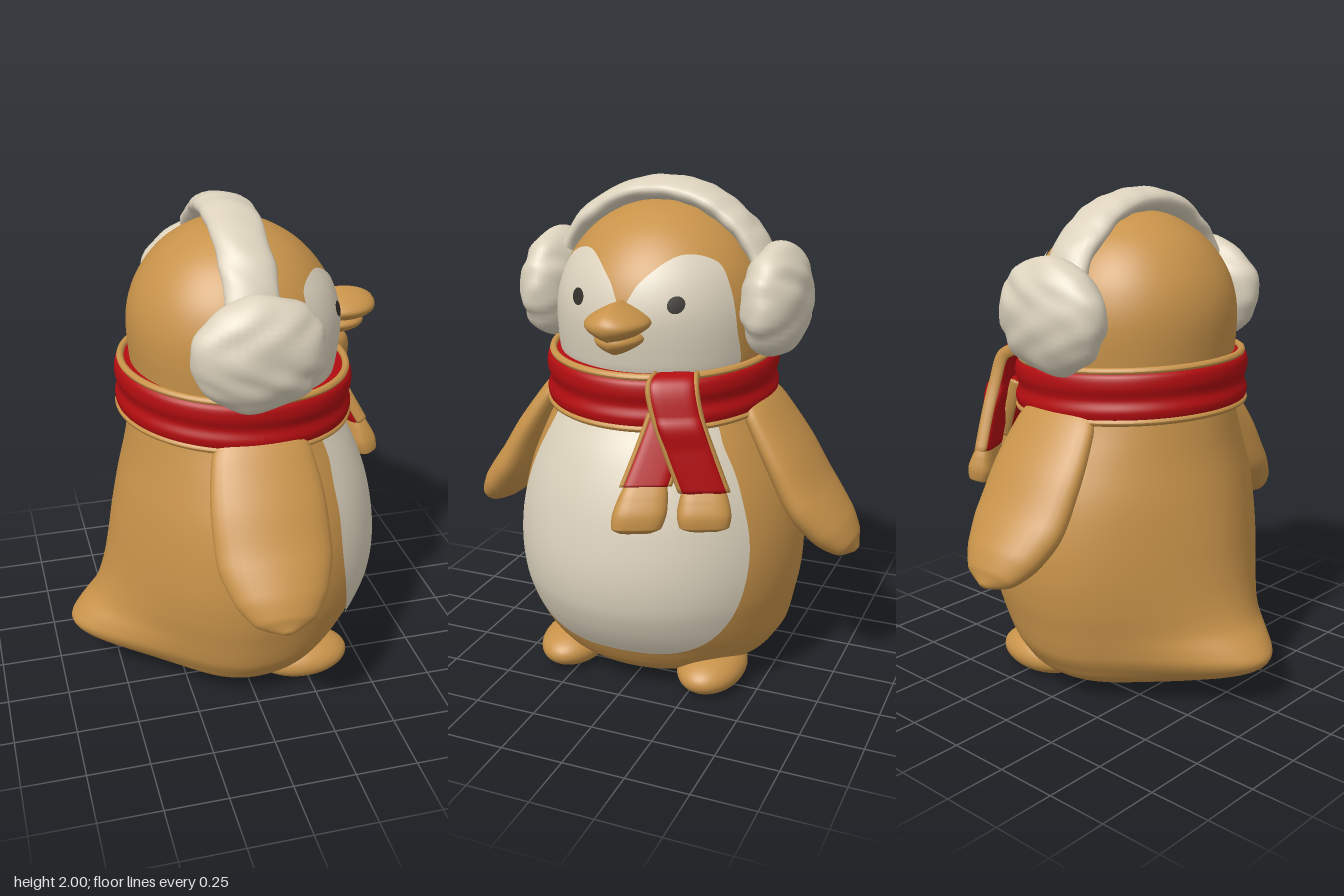
import * as THREE from 'three';
import { mergeVertices } from 'three/addons/utils/BufferGeometryUtils.js';

const material = (name, color) => {
  const m = new THREE.MeshStandardMaterial({ color });
  m.name = name;
  return m;
};

// Skin over closed rings of points
function loft(rings) {
  const n = rings[0].length, index = [];
  for (let i = 0; i < rings.length - 1; i++) {
    for (let j = 0; j < n; j++) {
      const k = (j + 1) % n;
      const a = i * n + j, b = i * n + k, c = a + n, d = b + n;
      index.push(a, c, b, b, c, d);
    }
  }
  const g = new THREE.BufferGeometry().setFromPoints(rings.flat());
  g.setIndex(index);
  g.computeVertexNormals();
  return g;
}

// Tube of changing size along rows [x, y, z, halfWidth, halfThickness]; U is the width direction
function sweep(rows, U, boxy = 1, steps = 40, sides = 28) {
  const path = new THREE.CatmullRomCurve3(rows.map(r => new THREE.Vector3(r[0], r[1], r[2])));
  const size = new THREE.CatmullRomCurve3(rows.map(r => new THREE.Vector3(r[3], r[4], 0)));
  const pow = v => Math.sign(v) * Math.abs(v) ** boxy;
  const rings = [];
  for (let i = 0; i <= steps; i++) {
    const u = i / steps, p = path.getPoint(u), s = size.getPoint(u);
    const N = U.clone().cross(path.getTangent(u)).normalize();
    const ring = [];
    for (let j = 0; j < sides; j++) {
      const a = j / sides * Math.PI * 2;
      ring.push(p.clone().addScaledVector(U, s.x * pow(Math.cos(a))).addScaledVector(N, s.y * pow(Math.sin(a))));
    }
    rings.push(ring);
  }
  // close both ends
  rings.unshift(rings[0].map(() => path.getPoint(0)));
  rings.push(rings[0].map(() => path.getPoint(1)));
  return loft(rings);
}

// Body and head rows: y, front, back, half width, back without tail
const ROWS = [
  [0.01, 0.15, 0.05, 0.2, 0.05], [0.05, 0.33, 0.37, 0.37, 0.28], [0.1, 0.41, 0.54, 0.46, 0.36],
  [0.15, 0.45, 0.65, 0.5, 0.39], [0.2, 0.48, 0.69, 0.53, 0.41], [0.25, 0.515, 0.66, 0.545, 0.42],
  [0.32, 0.555, 0.59, 0.56, 0.43], [0.42, 0.592, 0.545, 0.58, 0.44], [0.55, 0.605, 0.515, 0.59, 0.44],
  [0.7, 0.59, 0.49, 0.58, 0.43], [0.85, 0.555, 0.46, 0.545, 0.42], [1.0, 0.495, 0.425, 0.485, 0.4],
  [1.15, 0.41, 0.4, 0.42, 0.39], [1.25, 0.39, 0.38, 0.4, 0.38], [1.35, 0.415, 0.39, 0.415, 0.39],
  [1.5, 0.43, 0.4, 0.42, 0.4], [1.6, 0.415, 0.388, 0.405, 0.388], [1.7, 0.37, 0.347, 0.365, 0.347],
  [1.8, 0.285, 0.27, 0.285, 0.27], [1.87, 0.18, 0.17, 0.18, 0.17], [1.9, 0.09, 0.09, 0.09, 0.09],
  [1.91, 0.001, 0.001, 0.001, 0.001]
];
function row(y) {
  let i = 0;
  while (i < ROWS.length - 2 && y > ROWS[i + 1][0]) i++;
  const p = ROWS[i], q = ROWS[i + 1], h = q[0] - p[0];
  const t = THREE.MathUtils.clamp((y - p[0]) / h, 0, 1);
  const slope = (k, c) => {
    const a = ROWS[Math.max(k - 1, 0)], b = ROWS[Math.min(k + 1, ROWS.length - 1)];
    return (b[c] - a[c]) / (b[0] - a[0]);
  };
  return [1, 2, 3, 4].map(c =>
    (2 * t ** 3 - 3 * t * t + 1) * p[c] + (t ** 3 - 2 * t * t + t) * h * slope(i, c) +
    (3 * t * t - 2 * t ** 3) * q[c] + (t ** 3 - t * t) * h * slope(i + 1, c));
}
function bodyGeometry() {
  const rings = [];
  for (let i = 0; i < ROWS.length - 1; i++) {
    for (let k = 0; k < 5; k++) rings.push(THREE.MathUtils.lerp(ROWS[i][0], ROWS[i + 1][0], k / 5));
  }
  rings.push(1.91);
  const loops = rings.map(y => {
    const [front, back, w, base] = row(y), ring = [];
    for (let j = 0; j < 112; j++) {
      const a = j / 112 * Math.PI * 2, c = Math.cos(a);
      const x = c > 0 ? front * c : base * c - (back - base) * (-c) ** 7;
      ring.push(new THREE.Vector3(x, y, w * Math.sin(a)));
    }
    return ring;
  });
  loops.unshift(loops[0].map(() => new THREE.Vector3(0.05, 0.005, 0)));
  return loft(loops);
}

// Thin plate hugging the front of the body; outline [z, y] runs clockwise around the centre
function patch(outline, cz, cy, lift = 0.008) {
  const curve = new THREE.CatmullRomCurve3(outline.map(([z, y]) => new THREE.Vector3(0, y, z)), true);
  const edge = curve.getPoints(96).slice(0, 96);
  const rings = [];
  for (let i = 0; i <= 24; i++) {
    rings.push(edge.map(e => {
      const y = THREE.MathUtils.lerp(cy, e.y, i / 24), z = THREE.MathUtils.lerp(cz, e.z, i / 24);
      const [front, , w] = row(y);
      const x = front * Math.sqrt(Math.max(0.01, 1 - (z / w) ** 2));
      return new THREE.Vector3(x + lift, y, z * 1.008);
    }));
  }
  return loft(rings);
}
const mirrored = half => [...half, ...half.slice(1, -1).reverse().map(([z, y]) => [-z, y])];

// Uneven fur surface
function fluffy(g, amount) {
  g.deleteAttribute('uv');
  g.deleteAttribute('normal');
  g = mergeVertices(g, 1e-4);
  g.computeVertexNormals();
  const p = g.attributes.position, n = g.attributes.normal;
  for (let i = 0; i < p.count; i++) {
    const x = p.getX(i), y = p.getY(i), z = p.getZ(i);
    const d = amount * (Math.sin(x * 31 + 4 * Math.sin(y * 17)) + Math.sin(y * 37 + z * 29) * Math.cos(z * 23 - x * 19));
    p.setXYZ(i, x + n.getX(i) * d, y + n.getY(i) * d, z + n.getZ(i) * d);
  }
  g.computeVertexNormals();
  return g;
}

export function createModel() {
  const model = new THREE.Group();
  const tan = material('tan', 0xc8934a), cream = material('cream', 0xdcd2bd);
  const red = material('red', 0xb30d10), dark = material('dark', 0x34302b);
  const add = (name, g, m) => {
    const mesh = new THREE.Mesh(g, m);
    mesh.name = name;
    model.add(mesh);
    return mesh;
  };
  const ellipsoid = (x, y, z, rx, ry, rz) =>
    new THREE.SphereGeometry(1, 48, 32).scale(rx, ry, rz).translate(x, y, z);

  // Body, belly and face
  add('body', bodyGeometry(), tan);
  add('belly', patch(mirrored([[0, 1.2], [0.29, 1.16], [0.36, 1.04], [0.43, 0.89], [0.483, 0.65],
    [0.45, 0.42], [0.36, 0.28], [0.23, 0.21], [0, 0.2]]), 0, 0.65), cream);
  add('face', patch(mirrored([[0, 1.57], [0.06, 1.66], [0.18, 1.75], [0.29, 1.72], [0.345, 1.62],
    [0.37, 1.48], [0.36, 1.3], [0.2, 1.25], [0, 1.25]]), 0, 1.45), cream);

  // Beak: two halves pinched towards the corners
  const beak = (name, x, y, rx, ry, rz) => {
    const g = new THREE.SphereGeometry(1, 40, 28), p = g.attributes.position;
    for (let i = 0; i < p.count; i++) p.setY(i, p.getY(i) * (1 - 0.45 * Math.abs(p.getZ(i))));
    g.scale(rx, ry, rz).translate(x, y, 0);
    g.computeVertexNormals();
    add(name, g, tan);
  };
  beak('upperBeak', 0.455, 1.522, 0.145, 0.075, 0.12);
  beak('lowerBeak', 0.44, 1.46, 0.115, 0.06, 0.09);

  const X = new THREE.Vector3(1, 0, 0);
  for (const s of [1, -1]) {
    const side = s > 0 ? 'left' : 'right';
    const eye = [];
    for (let i = 0; i < 16; i++) {
      const a = i / 16 * Math.PI * 2;
      eye.push([s * 0.195 + 0.029 * Math.sin(a), 1.585 + 0.031 * Math.cos(a)]);
    }
    add(side + 'Eye', patch(eye, s * 0.195, 1.585, 0.015), dark);

    // Wings and feet
    add(side + 'Wing', sweep([
      [0.02, 1.24, s * 0.36, 0.12, 0.03], [0.02, 1.13, s * 0.43, 0.195, 0.06],
      [0.02, 0.95, s * 0.54, 0.225, 0.08], [0.02, 0.79, s * 0.63, 0.225, 0.09],
      [0.02, 0.67, s * 0.725, 0.18, 0.085], [0.02, 0.605, s * 0.79, 0.115, 0.055],
      [0.02, 0.58, s * 0.825, 0.02, 0.012]], X), tan);
    const foot = ellipsoid(0.24, 0.07, s * 0.305, 0.2, 0.085, 0.135), p = foot.attributes.position;
    for (let i = 0; i < p.count; i++) p.setY(i, Math.max(p.getY(i), 0.001));
    foot.computeVertexNormals();
    add(side + 'Foot', foot, tan);

    // Ear muffs
    add(side + 'EarMuff', fluffy(ellipsoid(0, 1.55, s * 0.462, 0.255, 0.222, 0.126), 0.004), cream);
  }
  const band = new THREE.TorusGeometry(0.445, 0.046, 24, 72, Math.PI).scale(1, 1, 2.25);
  add('headband', fluffy(band.rotateY(Math.PI / 2).translate(-0.01, 1.505, 0), 0.003), cream);

  // Scarf, leaning slightly forwards
  const lean = g => {
    const p = g.attributes.position;
    for (let i = 0; i < p.count; i++) {
      const x = p.getX(i) * 1.025 + 0.02;
      p.setXYZ(i, x, p.getY(i) - 0.05 * x, p.getZ(i));
    }
    g.computeVertexNormals();
    return g;
  };
  const profile = new THREE.SplineCurve([[0.39, 1.155], [0.445, 1.15], [0.462, 1.19], [0.45, 1.235],
    [0.462, 1.285], [0.45, 1.335], [0.39, 1.345]].map(([r, y]) => new THREE.Vector2(r, y)));
  add('scarf', lean(new THREE.LatheGeometry(profile.getPoints(30), 96)), red);
  for (const [name, y, r] of [['scarfLowerTrim', 1.152, 0.449], ['scarfUpperTrim', 1.345, 0.437]]) {
    add(name, lean(new THREE.TorusGeometry(r, 0.014, 10, 96).rotateX(Math.PI / 2).translate(0, y, 0)), tan);
  }

  // Scarf ends with trim and fringe
  const U = new THREE.Vector3(0.42, 0, 0.91).normalize();
  const scarfEnd = (name, rows, tip) => {
    add(name, sweep(rows, U, 0.5), red);
    for (const e of [-1, 1]) {
      const edge = rows.map(([x, y, z, w]) => [x + e * w * U.x, y, z + e * w * U.z, 0.012, 0.026]);
      add(name + 'Trim', sweep(edge, U, 1, 30, 10), tan);
    }
    const last = rows[rows.length - 1];
    const at = (t, w, d) => [...[0, 1, 2].map(i => THREE.MathUtils.lerp(last[i], tip[i], t)), w, d];
    add(name + 'Fringe', sweep([at(-0.1, 0.075, 0.03), at(0.2, 0.09, 0.045), at(0.6, 0.1, 0.058),
      at(0.9, 0.092, 0.05), at(1, 0.06, 0.025)], U, 0.65), tan);
  };
  scarfEnd('scarfFrontEnd', [[0.44, 1.34, -0.22, 0.075, 0.02], [0.49, 1.31, -0.225, 0.085, 0.03],
    [0.51, 1.2, -0.255, 0.085, 0.035], [0.51, 1.08, -0.3, 0.085, 0.035],
    [0.5, 0.93, -0.355, 0.085, 0.035]], [0.52, 0.785, -0.365]);
  scarfEnd('scarfBackEnd', [[0.45, 1.2, -0.2, 0.07, 0.03], [0.5, 1.09, -0.185, 0.08, 0.035],
    [0.575, 0.945, -0.155, 0.085, 0.035]], [0.625, 0.78, -0.135]);

  return model;
}
